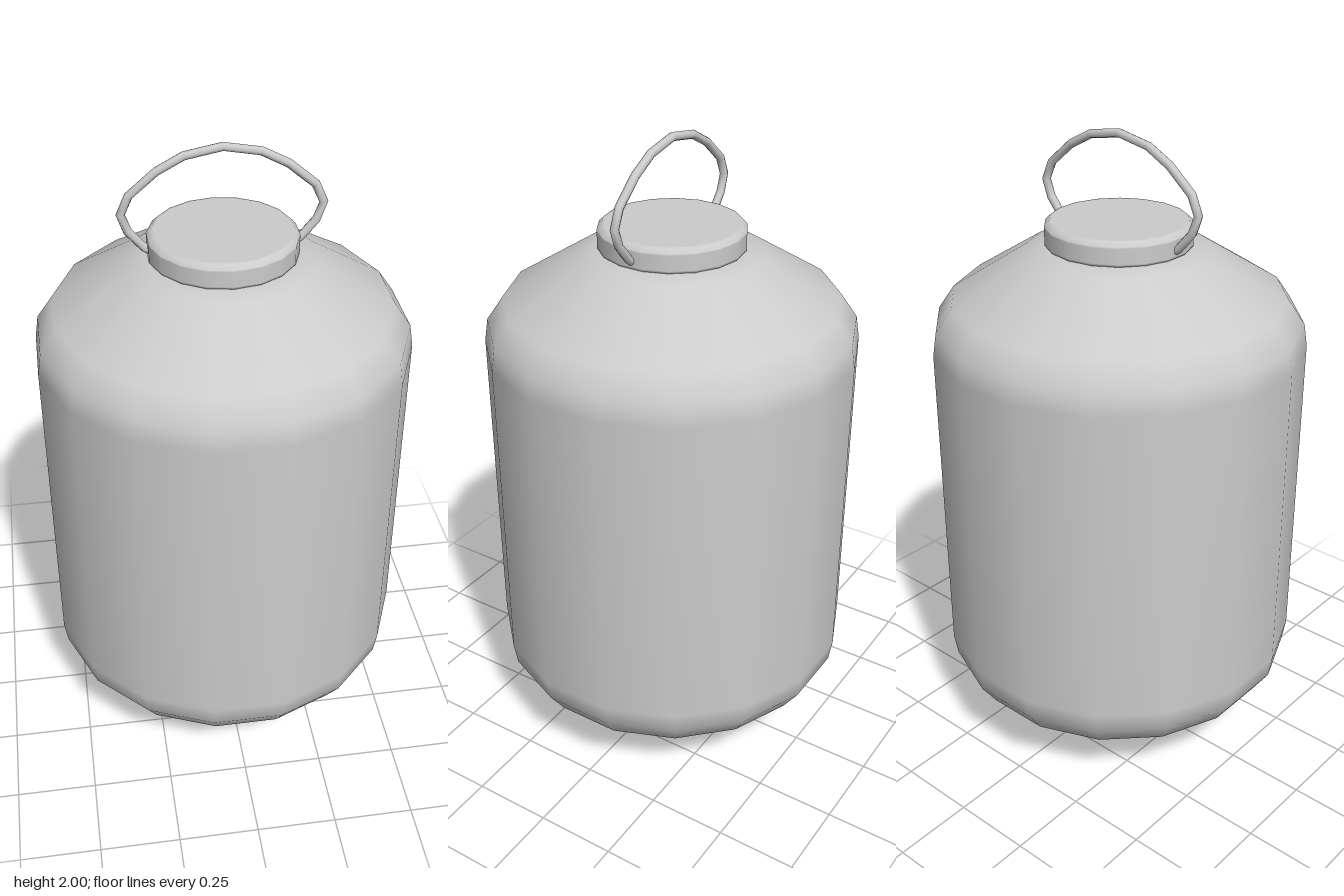
import * as THREE from 'three';

const grey = new THREE.MeshStandardMaterial({ color: 0xcccccc });
const greyOpen = new THREE.MeshStandardMaterial({ color: 0xcccccc, side: THREE.DoubleSide });

// Turned part from [radius, height] pairs, listed bottom to top
function turned(name, profile, sides, phase) {
  const points = profile.map(([r, y]) => new THREE.Vector2(r, y));
  const mesh = new THREE.Mesh(new THREE.LatheGeometry(points, sides, phase), grey);
  mesh.name = name;
  return mesh;
}

export function createModel() {
  const group = new THREE.Group();
  group.name = 'lantern';

  // Sixteen-sided shade: the lower shoulder mirrors the upper one about mid height
  const mid = 0.8625;
  const shoulder = [[0.567, 0.503], [0.556, 0.572], [0.506, 0.645], [0.275, 0.79], [0.2, 0.807], [0, 0.807]];
  const shade = [
    ...shoulder.map(([r, h]) => [r, mid - h]).reverse(),
    ...shoulder.map(([r, h]) => [r, mid + h]),
  ];
  group.add(turned('shade', shade, 16, Math.PI / 16));

  // Bevelled end caps; the extra inner rings keep the flat faces crisp
  const cap = (name, y0, y1) => turned(name, [
    [0, y0], [0.198, y0], [0.207, y0], [0.22, y0 + 0.013], [0.22, y0 + 0.018],
    [0.22, y1 - 0.018], [0.22, y1 - 0.013], [0.207, y1], [0.198, y1], [0, y1],
  ], 18, 0);
  group.add(cap('bottomCap', 0, 0.075));
  group.add(cap('topCap', 1.655, 1.737));

  // Wire handle: one segment between each pair of bend points
  const half = [[0.2, 1.68], [0.225, 1.697], [0.27, 1.75], [0.289, 1.803], [0.264, 1.859], [0.185, 1.926], [0.108, 1.967]];
  const bends = [
    ...half.map(([x, y]) => new THREE.Vector3(-x, y, 0)),
    new THREE.Vector3(0, 1.987, 0),
    ...half.map(([x, y]) => new THREE.Vector3(x, y, 0)).reverse(),
  ];
  const path = new THREE.CatmullRomCurve3(bends);
  path.getPointAt = path.getPoint;
  path.getTangentAt = path.getTangent;
  const handle = new THREE.Mesh(new THREE.TubeGeometry(path, bends.length - 1, 0.013, 8), greyOpen);
  handle.name = 'handle';
  group.add(handle);

  return group;
}
